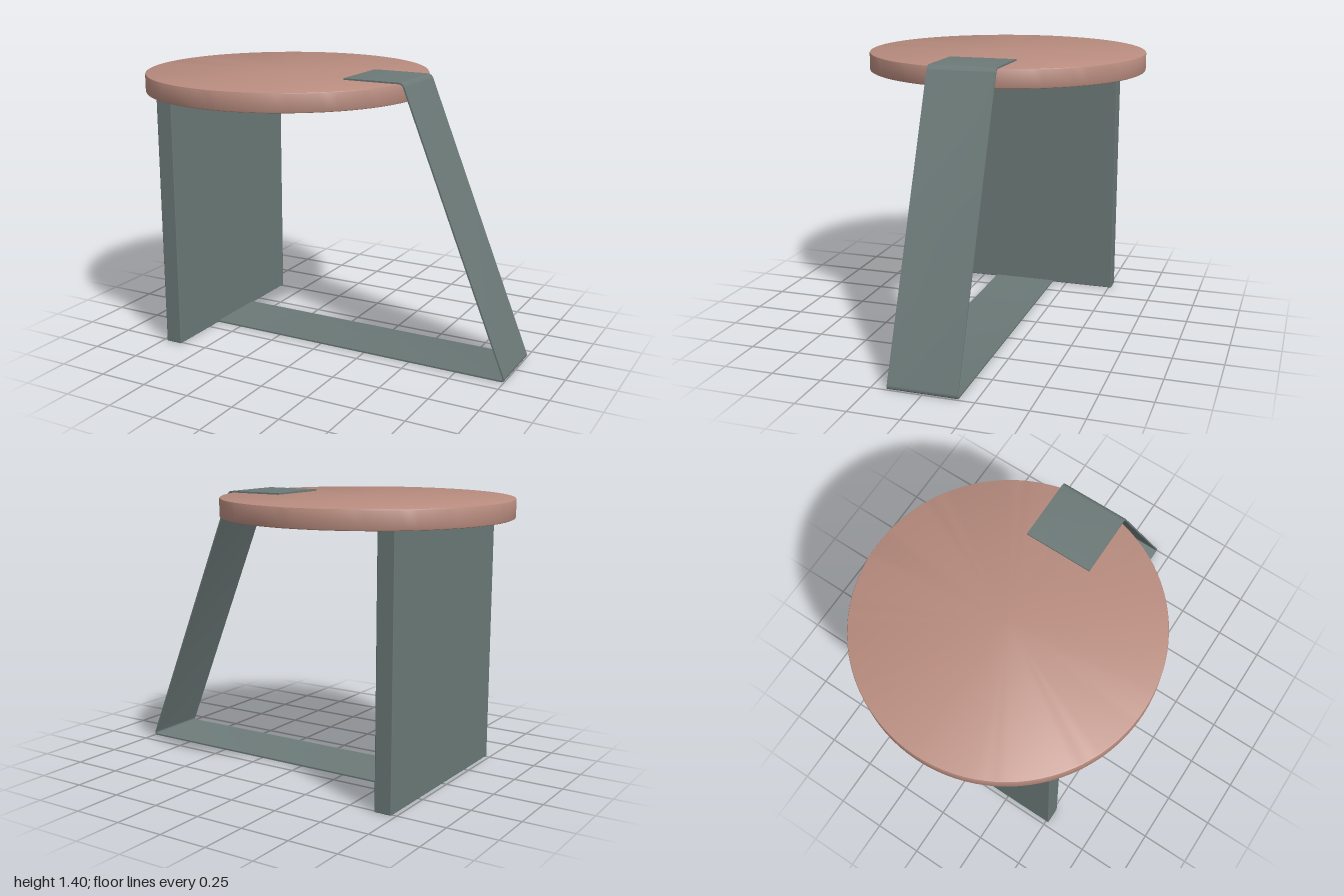
import * as THREE from 'three';
import { toCreasedNormals } from 'three/addons/utils/BufferGeometryUtils.js';
import { RoundedBoxGeometry } from 'three/addons/geometries/RoundedBoxGeometry.js';

const TOP_X = -0.28, TOP_R = 0.72, TOP_LOW = 1.295, TOP_HIGH = 1.389;
const STRIP_T = 0.008, STRIP_W = 0.34;

// Centre line with every inner corner rounded over distance r
function roundedLine(points, r) {
  const pts = points.map(p => new THREE.Vector2(...p));
  const out = [pts[0]];
  for (let i = 1; i < pts.length - 1; i++) {
    const toward = q => q.clone().sub(pts[i]).setLength(r).add(pts[i]);
    const bend = new THREE.QuadraticBezierCurve(toward(pts[i - 1]), pts[i], toward(pts[i + 1]));
    out.push(...bend.getPoints(8));
  }
  out.push(pts[pts.length - 1]);
  return out;
}

// Thicken a centre line into a closed outline
function ribbonShape(line, thickness) {
  const side = s => line.map((p, i) => {
    const a = line[Math.max(i - 1, 0)], b = line[Math.min(i + 1, line.length - 1)];
    const d = b.clone().sub(a).normalize();
    return new THREE.Vector2(p.x - d.y * s, p.y + d.x * s);
  });
  return new THREE.Shape([...side(thickness / 2), ...side(-thickness / 2).reverse()]);
}

export function createModel() {
  const model = new THREE.Group();
  model.name = 'sideTable';
  const clay = new THREE.MeshStandardMaterial({ color: 0xb98c7f });
  clay.name = 'clay pink';
  const slate = new THREE.MeshStandardMaterial({ color: 0x6b7977 });
  slate.name = 'slate grey';

  const add = (name, geometry, material) => {
    const mesh = new THREE.Mesh(geometry, material);
    mesh.name = name;
    model.add(mesh);
    return mesh;
  };

  // Round top with a softened rim
  const e = 0.006;
  const rim = [
    [0, TOP_LOW], [TOP_R - e, TOP_LOW], [TOP_R - e * 0.3, TOP_LOW + e * 0.3], [TOP_R, TOP_LOW + e],
    [TOP_R, TOP_HIGH - e], [TOP_R - e * 0.3, TOP_HIGH - e * 0.3], [TOP_R - e, TOP_HIGH], [0, TOP_HIGH],
  ].map(p => new THREE.Vector2(...p));
  const top = add('tableTop', toCreasedNormals(new THREE.LatheGeometry(rim, 96), 0.5), clay);
  top.position.x = TOP_X;

  // Upright panel leg
  const panel = add('panelLeg', new RoundedBoxGeometry(0.088, TOP_LOW, 1.03, 2, 0.004), slate);
  panel.position.set(-0.684, TOP_LOW / 2, 0);

  // Bent strip: over the top, down the slant and back along the floor
  const h = STRIP_T / 2;
  const line = roundedLine([[0.13, TOP_HIGH + h], [0.441, TOP_HIGH + h], [1.002, h], [-0.645, h]], 0.02);
  const strip = new THREE.ExtrudeGeometry(ribbonShape(line, STRIP_T), { depth: STRIP_W, bevelEnabled: false });
  strip.translate(0, 0, -STRIP_W / 2);
  add('bentStrip', toCreasedNormals(strip, 0.6), slate);

  return model;
}
